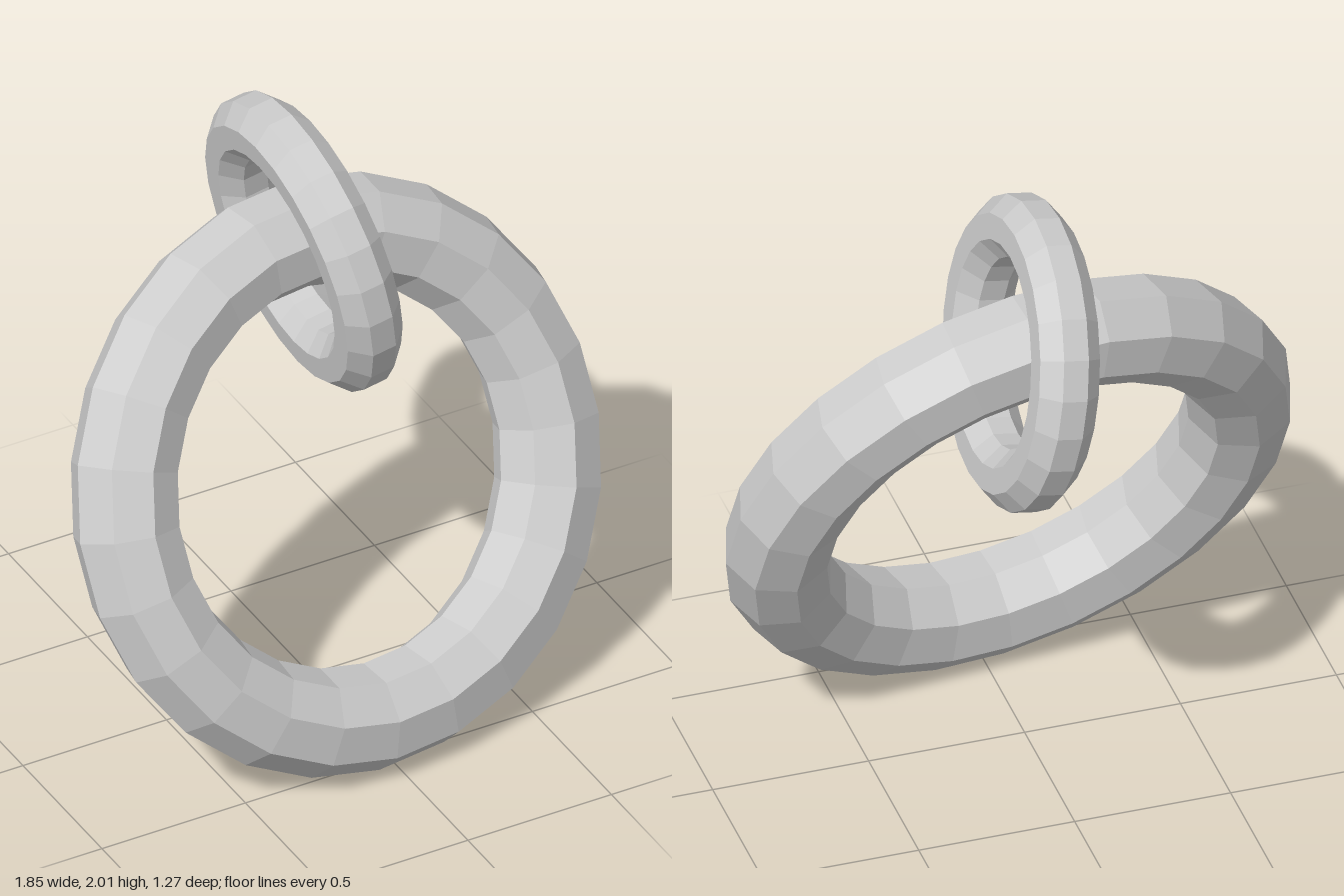
import * as THREE from 'three';

const material = new THREE.MeshStandardMaterial({ color: 0xcccccc, flatShading: true });

// Faceted ring: an eight-sided tube profile revolved about an axis
function makeRing(name, radius, tube, phase, center, axis) {
  const sides = 8;
  const profile = [];
  for (let i = 0; i <= sides; i++) {
    const a = ((i + phase) / sides) * Math.PI * 2;
    profile.push(new THREE.Vector2(radius + tube * Math.cos(a), tube * Math.sin(a)));
  }
  const ring = new THREE.Mesh(new THREE.LatheGeometry(profile, 24), material);
  ring.name = name;
  ring.position.set(...center);
  ring.quaternion.setFromUnitVectors(
    new THREE.Vector3(0, 1, 0),
    new THREE.Vector3(...axis).normalize()
  );
  return ring;
}

export function createModel() {
  const group = new THREE.Group();
  group.name = 'linkedRings';

  // Large ring leaning back
  group.add(makeRing('largeRing', 0.763, 0.168, 0, [0, 0.853, 0.165], [0.1, 0.405, 0.909]));

  // Small ring looped through its top
  const tilt = THREE.MathUtils.degToRad(9.8);
  group.add(makeRing('smallRing', 0.392, 0.105, 0.5, [0.055, 1.52, -0.138],
    [Math.cos(tilt), Math.sin(tilt), 0]));

  return group;
}
